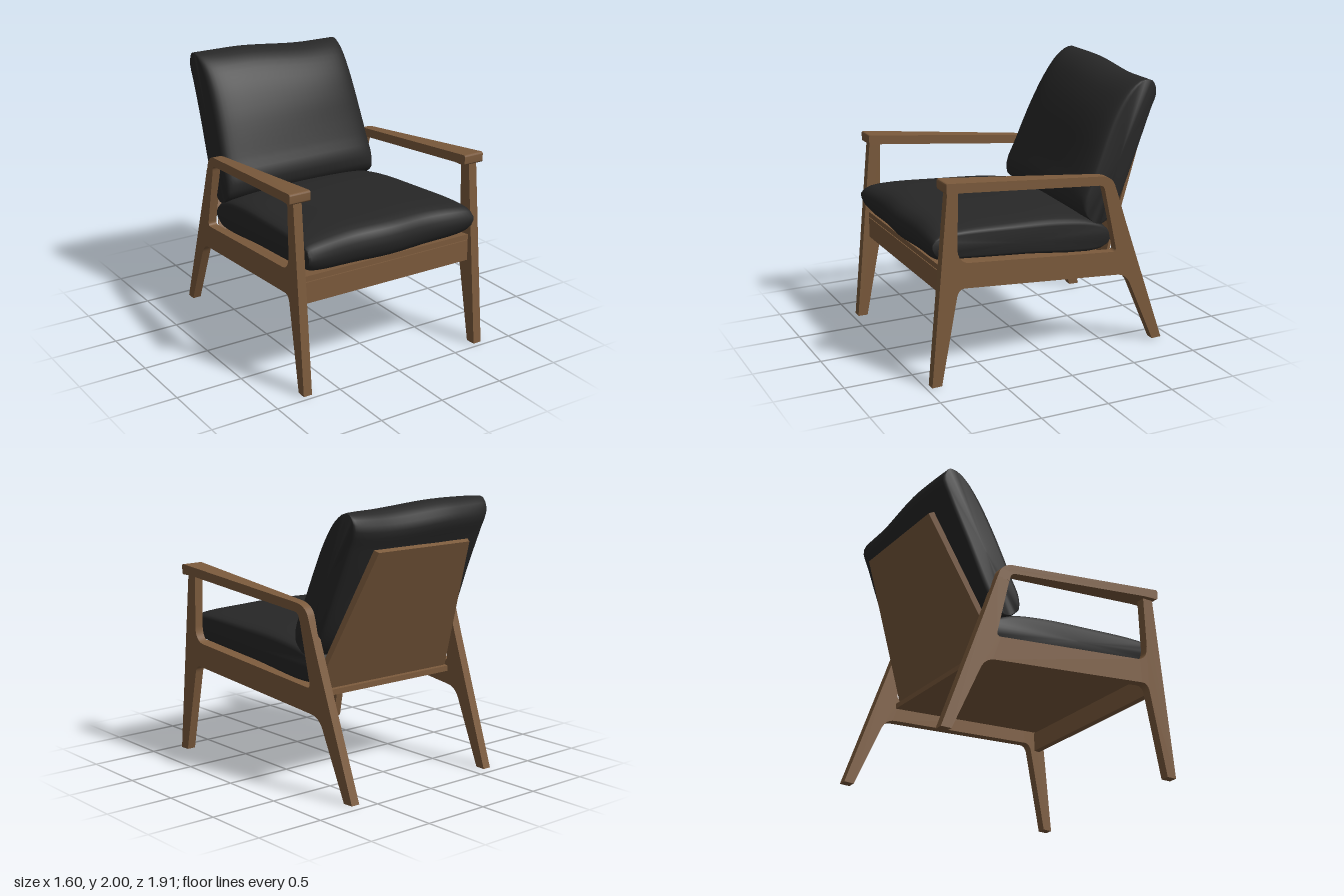
import * as THREE from 'three';
import { toCreasedNormals } from 'three/addons/utils/BufferGeometryUtils.js';

const wood = new THREE.MeshStandardMaterial({ color: 0x7b5a3c });
wood.name = 'walnut wood';
const fabric = new THREE.MeshStandardMaterial({ color: 0x272727 });
fabric.name = 'charcoal fabric';

function named(name, geometry, material) {
  const mesh = new THREE.Mesh(geometry, material);
  mesh.name = name;
  return mesh;
}

// Outline in (z, y): two numbers are a line, four are a rounded corner.
function outline(steps) {
  const shape = new THREE.Shape();
  steps.forEach((s, i) => {
    if (i === 0) shape.moveTo(...s);
    else if (s.length === 2) shape.lineTo(...s);
    else shape.quadraticCurveTo(...s);
  });
  shape.closePath();
  return shape;
}

// Board cut from a side outline; its centre and width in x vary along z.
function board(steps, centre, width) {
  const geo = new THREE.ExtrudeGeometry(outline(steps), { depth: 1, bevelEnabled: false, curveSegments: 8 });
  geo.translate(0, 0, -0.5).rotateY(-Math.PI / 2);
  const p = geo.attributes.position;
  for (let i = 0; i < p.count; i++) {
    const z = p.getZ(i);
    p.setX(i, p.getX(i) * width(z) + centre(z));
  }
  return toCreasedNormals(geo, 0.6);
}

// Cushion: a side profile swept across x, pinched in thickness towards both ends.
function cushion(profile, pivot, axis, halfWidth, warp) {
  const curve = new THREE.CatmullRomCurve3(profile.map(([z, y]) => new THREE.Vector3(0, y, z)), true);
  const ring = curve.getSpacedPoints(56).slice(0, 56);
  const n = ring.length, spans = 28, pos = [], index = [];
  const [az, ay] = new THREE.Vector2(...axis).normalize().toArray();
  for (let i = -1; i <= spans + 1; i++) {
    const capped = i < 0 || i > spans;
    const a = (THREE.MathUtils.clamp(i, 0, spans) / spans - 0.5) * Math.PI;
    const u = Math.sin(a);
    const thick = capped ? 0 : 0.52 + 0.48 * Math.pow(Math.max(0, Math.cos(a)), 0.7);
    const long = capped ? 0 : 1;
    for (const q of ring) {
      const dz = q.z - pivot[0], dy = q.y - pivot[1];
      const l = (dz * az + dy * ay) * long;
      const t = (dz * ay - dy * az) * thick;
      const z = pivot[0] + l * az + t * ay;
      const y = pivot[1] + l * ay - t * az;
      const [wy, wz] = warp(u, z, y);
      pos.push(u * halfWidth(z, y), y + wy, z + wz);
    }
  }
  for (let i = 0; i < spans + 2; i++) {
    for (let j = 0; j < n; j++) {
      const a = i * n + j, b = i * n + (j + 1) % n, c = a + n, d = b + n;
      index.push(a, c, b, b, c, d);
    }
  }
  const geo = new THREE.BufferGeometry();
  geo.setAttribute('position', new THREE.Float32BufferAttribute(pos, 3));
  geo.setIndex(index);
  return toCreasedNormals(geo, 0.9);
}

export function createModel() {
  const chair = new THREE.Group();
  chair.name = 'armchair';

  // Legs and side rail in one piece
  const frameSteps = [
    [0.96, 0], [0.825, 1.4], [0.745, 1.4], [0.758, 0.98],
    [0.757, 0.87, 0.67, 0.858], [-0.48, 0.742], [-0.517, 0.738, -0.51, 0.775],
    [-0.412, 1.2], [-0.508, 1.2], [-0.593, 0.95], [-0.93, 0], [-0.852, 0],
    [-0.64, 0.475], [-0.605, 0.55, -0.53, 0.56], [0.7, 0.68],
    [0.753, 0.685, 0.765, 0.62], [0.886, 0],
  ];
  // Armrest that bends down into the back leg
  const armSteps = [
    [0.85, 1.385], [0.85, 1.43], [0.85, 1.446, 0.83, 1.444], [-0.36, 1.32],
    [-0.465, 1.315, -0.495, 1.235], [-0.51, 1.19], [-0.413, 1.19],
    [-0.408, 1.215], [-0.398, 1.25, -0.36, 1.254], [0.74, 1.367], [0.83, 1.368],
    [0.85, 1.368, 0.85, 1.385],
  ];
  for (const [label, side] of [['left', 1], ['right', -1]]) {
    chair.add(named(label + 'SideFrame',
      board(frameSteps, z => side * (0.685 + 0.053 * z), () => 0.066), wood));
    chair.add(named(label + 'Armrest',
      board(armSteps, z => side * (0.68 + 0.048 * z), z => 0.103 + 0.068 * z), wood));
  }

  // Front rail, seat panel and tapering back panel
  const innerWidth = z => 2 * (0.653 + 0.053 * z);
  const middle = () => 0;
  chair.add(named('frontRail',
    board([[0.85, 0.635], [0.85, 0.79], [0.8, 0.785], [0.8, 0.635]], middle, innerWidth), wood));
  chair.add(named('seatPanel',
    board([[0.85, 0.796], [0.85, 0.836], [-0.52, 0.7], [-0.52, 0.66]], middle, innerWidth), wood));
  chair.add(named('backPanel',
    board([[-0.48, 0.68], [-0.45, 0.69], [-0.88, 1.708], [-0.914, 1.692]], middle,
      z => 1.25 + (z + 0.48) * 0.93), wood));

  // Seat cushion
  const seatProfile = [
    [0.86, 0.85], [0.9, 0.93], [0.895, 1.03], [0.83, 1.085], [0.7, 1.105], [0.3, 1.098],
    [-0.1, 1.075], [-0.35, 1.02], [-0.48, 0.93], [-0.5, 0.8], [-0.42, 0.717],
    [0.2, 0.775], [0.75, 0.832],
  ];
  chair.add(named('seatCushion', cushion(seatProfile, [0.2, 0.905], [1, 0.1],
    z => 0.647 + 0.05 * z,
    (u, z) => [0, z > 0.7 ? 0.008 * Math.cos(u * 7) : 0]), fabric));

  // Back cushion, slumping a little towards the left
  const backProfile = [
    [-0.33, 0.985], [-0.25, 1.05], [-0.232, 1.16], [-0.285, 1.29], [-0.42, 1.62],
    [-0.54, 1.83], [-0.65, 1.95], [-0.77, 2.0], [-0.88, 1.975], [-0.95, 1.87],
    [-0.9, 1.74], [-0.77, 1.45], [-0.6, 1.05], [-0.5, 0.935], [-0.41, 0.94],
  ];
  chair.add(named('backCushion', cushion(backProfile, [-0.56, 1.4], [-0.44, 0.9],
    (z, y) => 0.64 - 0.035 * THREE.MathUtils.smoothstep(y, 1, 1.9),
    (u, z, y) => {
      const top = THREE.MathUtils.smoothstep(y, 1.4, 1.9);
      const slump = THREE.MathUtils.smoothstep(u, -0.5, 0.6);
      return [-0.038 * top * slump, 0.035 * top * slump];
    }), fabric));

  return chair;
}
